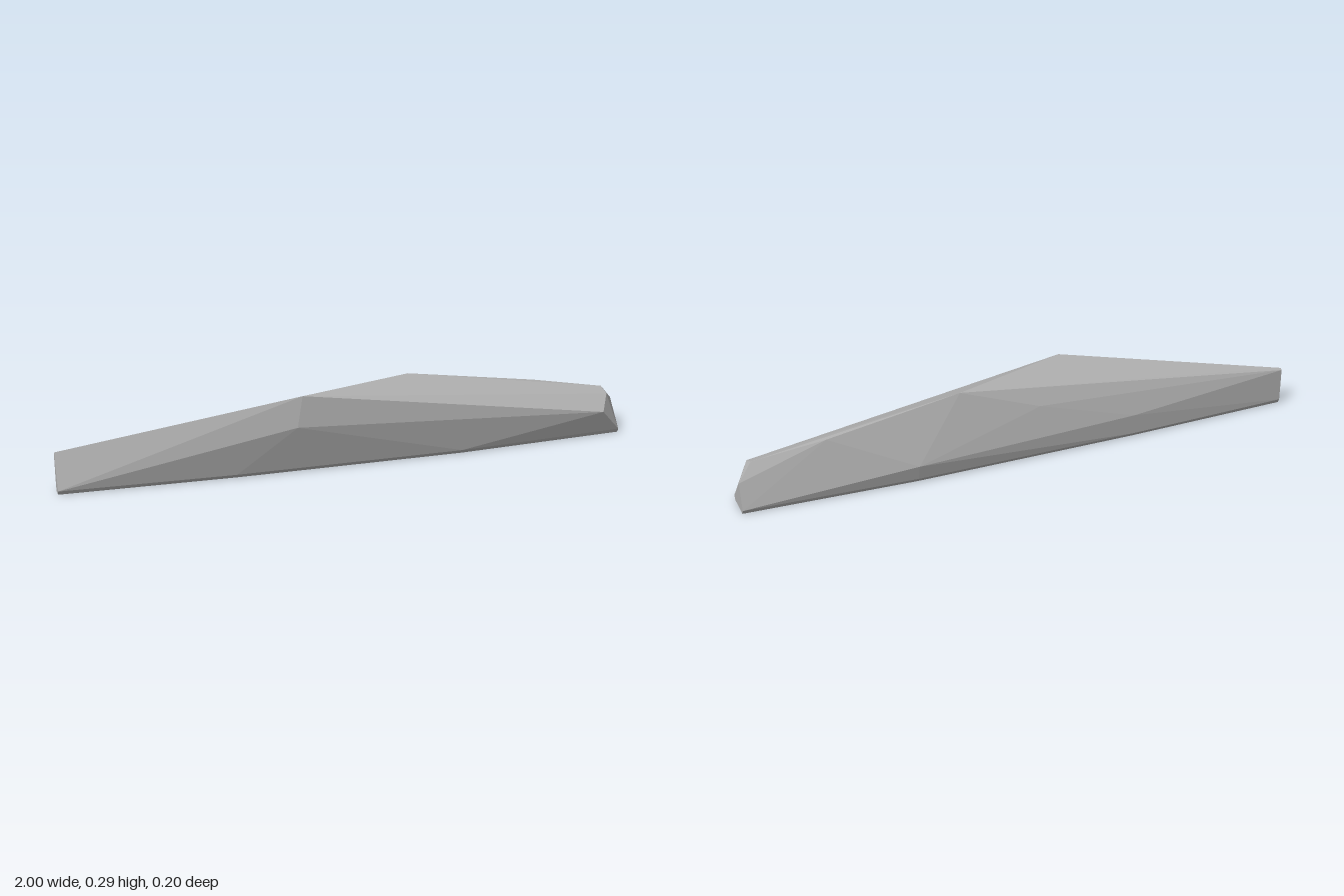
import * as THREE from 'three';
import { ConvexGeometry } from 'three/addons/geometries/ConvexGeometry.js';

export function createModel() {
  const group = new THREE.Group();
  group.name = 'rockSlab';
  const stone = new THREE.MeshStandardMaterial({ color: 0xb0b0b0, flatShading: true });
  stone.name = 'stoneGrey';

  // Ridge, flanks and ends of the chiselled stone
  const corners = [
    [-1, 0.14, -0.03], [-1, 0.135, -0.038],
    [-0.18, 0.293, 0.09], [0.23, 0.283, -0.035],
    [0.7, 0.205, -0.04], [0.95, 0.163, -0.015],
    [0.955, 0.148, 0.025], [0.92, 0.105, 0.085],
    [-0.2, 0.185, 0.1], [1, 0.105, -0.04],
    [0.4, 0.07, -0.1], [-0.4, 0.09, -0.075], [-0.05, 0.19, -0.062],
  ].map((p) => new THREE.Vector3(...p));

  // Foot outline as x, front z, back z: full width at the rim, drawn in at the ground
  const foot = [
    [-1, 0.01, -0.036], [-0.4, 0.047, -0.068], [0.4, 0.067, -0.085], [1, 0.045, -0.066],
  ];
  for (const [x, front, back] of foot) {
    const inset = Math.abs(x) === 1 ? 0.008 : 0.012;
    corners.push(
      new THREE.Vector3(x, 0.015, front), new THREE.Vector3(x, 0.015, back),
      new THREE.Vector3(x, 0, front - inset), new THREE.Vector3(x, 0, back + inset),
    );
  }

  const rock = new THREE.Mesh(new ConvexGeometry(corners), stone);
  rock.name = 'rock';
  group.add(rock);
  return group;
}
